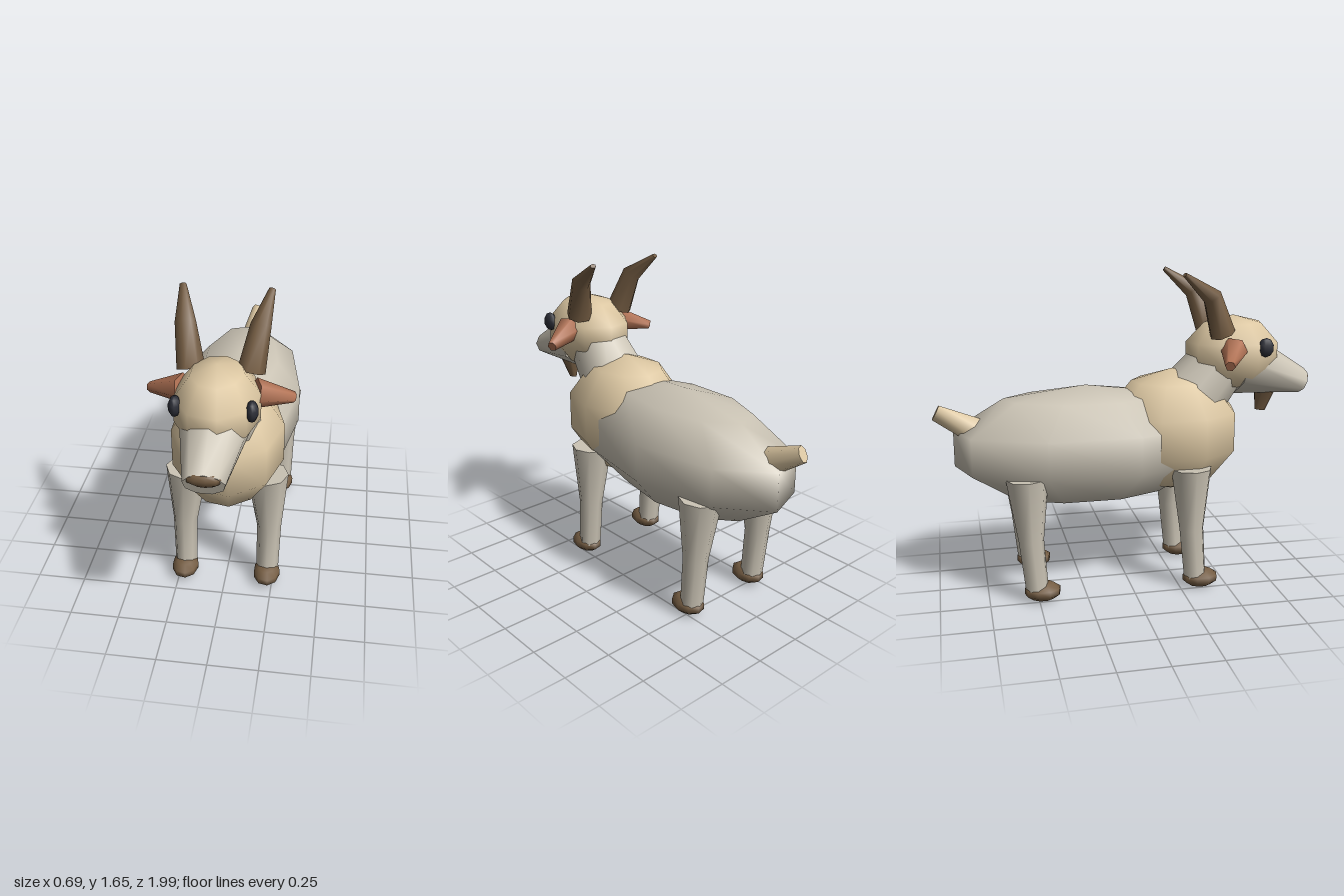
import * as THREE from 'three';

const mat = (name, color, side = THREE.FrontSide) =>
  Object.assign(new THREE.MeshStandardMaterial({ color, side }), { name });

// Closed tube through rings [x, y, z, radiusU, radiusV]; ring plane follows the path
function loft(rings, sides, ref = new THREE.Vector3(1, 0, 0), turn = 0) {
  const centre = rings.map(r => new THREE.Vector3(r[0], r[1], r[2]));
  const pos = [], index = [];
  const n = rings.length;
  const points = rings.map((r, i) => {
    const t = centre[Math.min(i + 1, n - 1)].clone().sub(centre[Math.max(i - 1, 0)]).normalize();
    const u = ref.clone().addScaledVector(t, -ref.dot(t)).normalize();
    const v = t.clone().cross(u);
    return Array.from({ length: sides }, (_, j) => {
      const a = turn + (j / sides) * Math.PI * 2;
      return centre[i].clone()
        .addScaledVector(u, Math.cos(a) * r[3])
        .addScaledVector(v, Math.sin(a) * (r[4] ?? r[3]));
    });
  });
  const push = p => pos.push(p.x, p.y, p.z);
  points.forEach(ring => ring.forEach(push));
  for (let i = 0; i < n - 1; i++) {
    for (let j = 0; j < sides; j++) {
      const k = (j + 1) % sides;
      const a = i * sides + j, b = i * sides + k, c = b + sides, d = a + sides;
      index.push(a, b, c, a, c, d);
    }
  }
  // flat end caps with their own vertices
  [[points[0], true], [points[n - 1], false]].forEach(([ring, flip]) => {
    const s = pos.length / 3;
    ring.forEach(push);
    for (let j = 1; j < sides - 1; j++) {
      if (flip) index.push(s, s + j + 1, s + j);
      else index.push(s, s + j, s + j + 1);
    }
  });
  const g = new THREE.BufferGeometry();
  g.setAttribute('position', new THREE.Float32BufferAttribute(pos, 3));
  g.setIndex(index);
  g.computeVertexNormals();
  return g;
}

// Coarse ellipsoid with upright poles
function ball(x, y, z, rx, ry, rz, tilt = 0) {
  return new THREE.SphereGeometry(1, 9, 5)
    .rotateY(Math.PI).scale(rx, ry, rz).rotateX(tilt).translate(x, y, z);
}

export function createModel() {
  const root = new THREE.Group();
  root.name = 'goat';
  const grey = mat('greyCoat', 0xcbc4b5);
  const tan = mat('tanCoat', 0xdcc7a2);
  const brown = mat('hornBrown', 0x755d43);
  const rust = mat('earRust', 0xb27355);
  const black = mat('eyeBlack', 0x2b2d36);
  const add = (name, geometry, material) => {
    const m = new THREE.Mesh(geometry, material);
    m.name = name;
    root.add(m);
  };

  // Trunk and head
  add('body', ball(0, 0.76, -0.21, 0.342, 0.315, 0.726), grey);
  add('chest', ball(0, 0.815, 0.25, 0.298, 0.33, 0.37), tan);
  add('neck', loft([[0, 0.93, 0.31, 0.19], [0, 1.21, 0.54, 0.15]], 9), grey);
  add('head', ball(0, 1.215, 0.575, 0.207, 0.2, 0.261), tan);
  add('muzzle', loft([[0, 1.16, 0.62, 0.17, 0.17], [0, 1.05, 0.968, 0.095, 0.066]], 9,
    undefined, Math.PI / 2), grey);
  add('nose', ball(0, 1.078, 0.972, 0.08, 0.036, 0.027, 0.2), brown);
  add('beard', loft([[0, 1.03, 0.765, 0.065], [0, 0.895, 0.742, 0.008, 0.03]], 7), brown);
  add('tail', loft([[0, 0.865, -0.78, 0.07], [0, 0.965, -0.972, 0.026, 0.042]], 7), tan);

  // Paired parts
  for (const [side, s] of [['left', 1], ['right', -1]]) {
    add(side + 'Eye', ball(s * 0.17, 1.263, 0.7, 0.03, 0.05, 0.043), black);
    add(side + 'Ear', loft([[s * 0.165, 1.256, 0.53, 0.07], [s * 0.335, 1.205, 0.455, 0.026]], 6,
      new THREE.Vector3(0, 0, 1)), rust);
    add(side + 'Horn', loft([
      [s * 0.137, 1.335, 0.475, 0.067],
      [s * 0.17, 1.528, 0.405, 0.049, 0.05],
      [s * 0.205, 1.642, 0.253, 0.016, 0.012],
    ], 7), brown);

    // Legs and hooves
    for (const [end, top, mid, foot, hoof] of [
      ['Front', 0.305, 0.307, 0.33, 0.36],
      ['Back', -0.542, -0.532, -0.508, -0.48],
    ]) {
      add(side + end + 'Leg', loft([
        [s * 0.207, 0.655, top, 0.107],
        [s * 0.222, 0.33, mid, 0.064],
        [s * 0.22, 0.06, foot, 0.058],
      ], 8), grey);
      add(side + end + 'Hoof', ball(s * 0.22, 0.05, hoof, 0.073, 0.05, 0.098), brown);
    }
  }
  return root;
}
